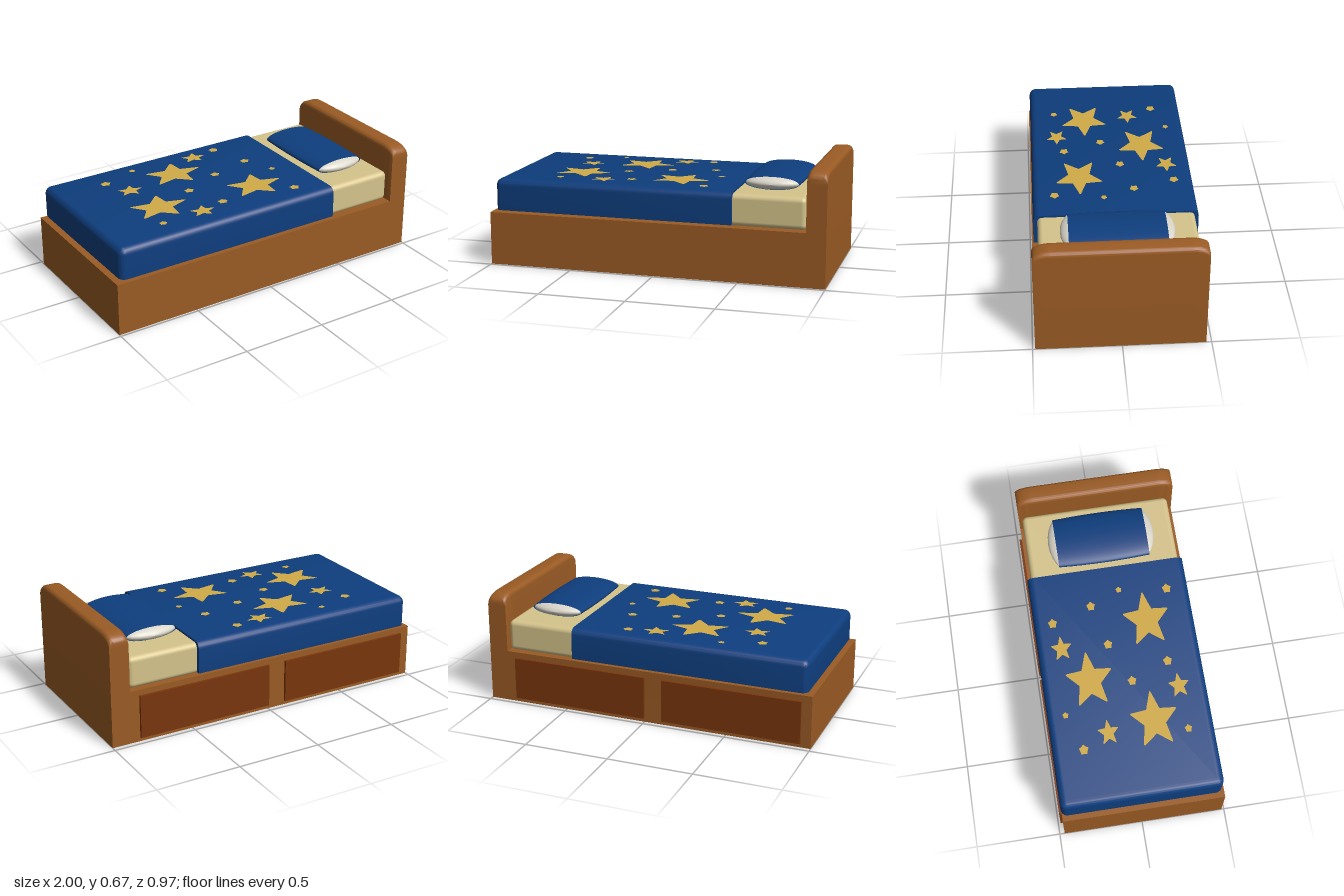
import * as THREE from 'three';
import { toCreasedNormals } from 'three/addons/utils/BufferGeometryUtils.js';
import { RoundedBoxGeometry } from 'three/addons/geometries/RoundedBoxGeometry.js';

function material(name, color) {
  const m = new THREE.MeshStandardMaterial({ color });
  m.name = name;
  return m;
}

// Box given by its limits on each axis
function spanBox([x0, x1], [y0, y1], [z0, z1], radius = 0) {
  const size = [x1 - x0, y1 - y0, z1 - z0];
  const g = radius ? new RoundedBoxGeometry(...size, 4, radius) : new THREE.BoxGeometry(...size);
  return g.translate((x0 + x1) / 2, (y0 + y1) / 2, (z0 + z1) / 2);
}

// Moves every vertex by a rule
function moveVertices(g, rule) {
  const p = g.attributes.position, v = new THREE.Vector3();
  for (let i = 0; i < p.count; i++) {
    rule(v.fromBufferAttribute(p, i));
    p.setXYZ(i, v.x, v.y, v.z);
  }
  return toCreasedNormals(g, 0.6);
}

// Rounded-top section swept across the bed, lowered towards both ends
function headboardGeometry() {
  const x0 = 0.885, x1 = 1, top = 0.665, r = 0.028;
  const s = new THREE.Shape();
  s.moveTo(x0, 0);
  s.lineTo(x1, 0);
  s.lineTo(x1, top - r);
  s.absarc(x1 - r, top - r, r, 0, Math.PI / 2);
  s.lineTo(x0 + r, top);
  s.absarc(x0 + r, top - r, r, Math.PI / 2, Math.PI);
  s.closePath();
  const n = 7;
  const g = new THREE.ExtrudeGeometry(s, { depth: 2 * n + 1, steps: 2 * n + 1, bevelEnabled: false, curveSegments: 6 });
  return moveVertices(g, (v) => {
    const k = Math.round(v.z);
    const fromEnd = Math.min(k, 2 * n + 1 - k);
    const a = (fromEnd / n) * Math.PI / 2;
    const d = 0.1 * (1 - Math.cos(a));
    v.z = k <= n ? -0.47 + d : 0.485 - d;
    if (v.y > 0.5) v.y -= 0.045 * (1 - Math.sin(a));
  });
}

// Five-pointed star with softened tips, lying flat
function starGeometry(radius, inner, squash) {
  const s = new THREE.Shape();
  const at = (r, a) => new THREE.Vector2(r * Math.cos(a), r * Math.sin(a) * squash);
  for (let i = 0; i < 5; i++) {
    const a = i * Math.PI * 0.4, half = Math.PI / 5;
    const before = at(radius * inner, a - half), tip = at(radius * 1.03, a), after = at(radius * inner, a + half);
    const p = before.clone().lerp(tip, 0.85), q = after.clone().lerp(tip, 0.85);
    if (i === 0) s.moveTo(before.x, before.y);
    s.lineTo(p.x, p.y);
    s.quadraticCurveTo(tip.x, tip.y, q.x, q.y);
    s.lineTo(after.x, after.y);
  }
  return new THREE.ShapeGeometry(s, 4).rotateX(-Math.PI / 2);
}

export function createModel() {
  const wood = material('wood', 0x9a5b24);
  const darkWood = material('dark wood', 0x7a360d);
  const blue = material('blue cloth', 0x0e3e7e);
  const cream = material('cream mattress', 0xd6c48c);
  const white = material('white pillow', 0xdad6ca);
  const gold = material('gold stars', 0xd2ab48);
  blue.side = white.side = THREE.DoubleSide;

  const bed = new THREE.Group();
  bed.name = 'bed';
  function add(name, geometry, mat, parent = bed) {
    const mesh = new THREE.Mesh(geometry, mat);
    mesh.name = name;
    parent.add(mesh);
    return mesh;
  }

  // Frame
  add('base', spanBox([-1, 0.885], [0, 0.315], [-0.47, 0.485]), wood);
  add('headboard', headboardGeometry(), wood);
  [[-0.94, -0.11], [0, 0.83]].forEach((span, i) =>
    add('drawer' + (i + 1), spanBox(span, [0.025, 0.28], [-0.485, -0.469]), darkWood));

  // Bedding: the blanket is cut flat at its hem and turned-down end
  add('mattress', spanBox([-0.95, 0.88], [0.317, 0.503], [-0.45, 0.45], 0.03), cream);
  const blanket = spanBox([-0.97, 0.53], [0.26, 0.515], [-0.473, 0.475], 0.04);
  add('blanket', moveVertices(blanket, (v) => {
    v.x = Math.min(v.x, 0.457);
    v.y = Math.max(v.y, 0.328);
  }), blue);

  // Pillow: flattened sleeve with a domed end on each side
  const pillow = new THREE.Group();
  pillow.name = 'pillow';
  pillow.position.set(0.647, 0.541, 0.005);
  bed.add(pillow);
  const lathe = (points) => new THREE.LatheGeometry(points.map(([r, z]) => new THREE.Vector2(r, z)), 40)
    .rotateX(Math.PI / 2).scale(1, 0.24, 1);
  const sleeve = [];
  for (let i = 0; i <= 8; i++) {
    const t = i / 4 - 1;
    sleeve.push([0.166 - 0.009 * t * t, 0.275 * t]);
  }
  add('pillowSleeve', lathe(sleeve), blue, pillow);
  for (const side of [1, -1]) {
    const end = add(side > 0 ? 'pillowEndFront' : 'pillowEndBack',
      lathe([[0, 0.321], [0.05, 0.317], [0.09, 0.307], [0.125, 0.292], [0.148, 0.276], [0.154, 0.262]].reverse()), white, pillow);
    if (side < 0) end.rotation.y = Math.PI;
  }

  // Stars on the blanket: x, z, radius
  const stars = new THREE.Group();
  stars.name = 'stars';
  stars.position.y = 0.518;
  bed.add(stars);
  const large = [[-0.24, -0.195, 0.18], [-0.535, 0.14, 0.18], [0.085, 0.195, 0.18],
    [-0.02, -0.33, 0.08], [-0.57, -0.135, 0.08], [-0.35, 0.315, 0.08]];
  const small = [[-0.65, -0.29, 0.032], [-0.43, -0.365, 0.021], [0.145, -0.36, 0.031], [0.22, -0.12, 0.03],
    [-0.035, -0.055, 0.03], [-0.28, 0.05, 0.03], [0.3, 0.06, 0.021], [-0.19, 0.275, 0.031],
    [0.265, 0.345, 0.031], [-0.615, 0.325, 0.025]];
  large.forEach(([x, z, r]) => add('star', starGeometry(r, 0.46, 0.8), gold, stars).position.set(x, 0, z));
  small.forEach(([x, z, r]) => add('smallStar', starGeometry(r, 0.75, 0.9), gold, stars).position.set(x, 0, z));

  return bed;
}
